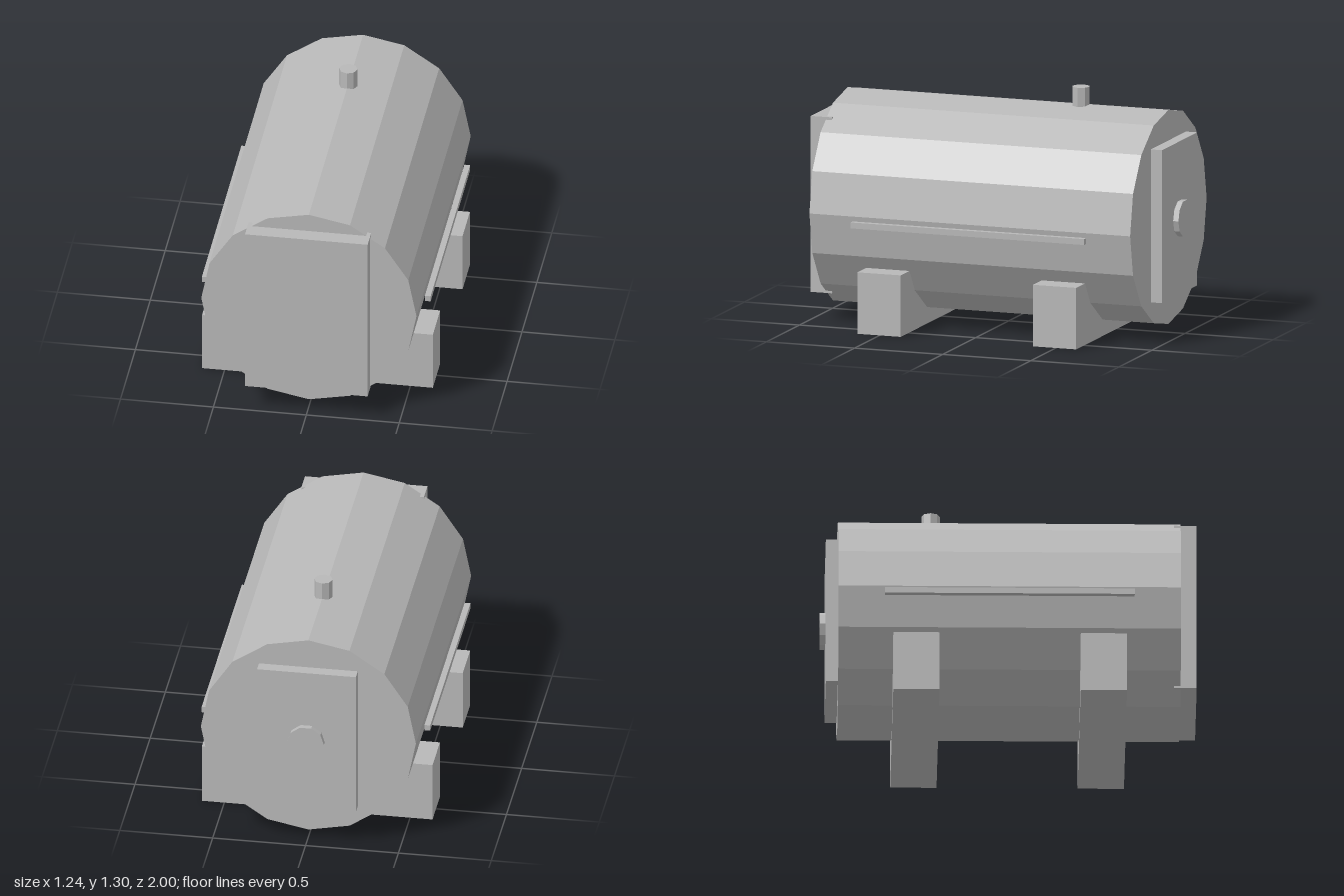
import * as THREE from 'three';

export function createModel() {
  const model = new THREE.Group();
  model.name = 'horizontalTank';
  const steel = new THREE.MeshStandardMaterial({ color: 0xb8b8b8 });
  steel.name = 'greySteel';

  const add = (name, geometry, x, y, z) => {
    // split shared normals so every facet stays flat
    const flat = geometry.toNonIndexed();
    flat.computeVertexNormals();
    const mesh = new THREE.Mesh(flat, steel);
    mesh.name = name;
    mesh.position.set(x, y, z);
    model.add(mesh);
  };
  // box given by its limits on each axis
  const box = (name, x0, x1, y0, y1, z0, z1) =>
    add(name, new THREE.BoxGeometry(x1 - x0, y1 - y0, z1 - z0),
      (x0 + x1) / 2, (y0 + y1) / 2, (z0 + z1) / 2);

  // sixteen-sided drum lying along z
  const axisY = 0.624;
  add('drum', new THREE.CylinderGeometry(0.579, 0.579, 1.82, 16).rotateX(Math.PI / 2), 0, axisY, 0.004);

  // front door, its corners reaching past the drum rim
  box('frontDoor', -0.33, 0.33, 0.149, 1.101, 0.88, 1);

  // rear plate with a ten-sided hub
  box('rearPlate', -0.266, 0.266, 0.21, 1.038, -0.97, -0.89);
  add('rearHub', new THREE.CylinderGeometry(0.099, 0.099, 0.05, 10, 1, false, Math.PI / 2).rotateX(Math.PI / 2),
    0, axisY, -0.975);

  // filler neck on top
  add('fillerNeck', new THREE.CylinderGeometry(0.049, 0.049, 0.14, 8), 0, 1.228, -0.41);

  // side rails
  for (const s of [-1, 1]) {
    const x = s * 0.6;
    box(s > 0 ? 'leftRail' : 'rightRail', x - 0.0155, x + 0.0155, 0.567, 0.599, -0.659, 0.667);
  }

  // support blocks under the drum
  for (const [name, z] of [['frontSupport', 0.503], ['rearSupport', -0.493]])
    box(name, -0.621, 0.621, 0, 0.333, z - 0.123, z + 0.123);

  return model;
}
